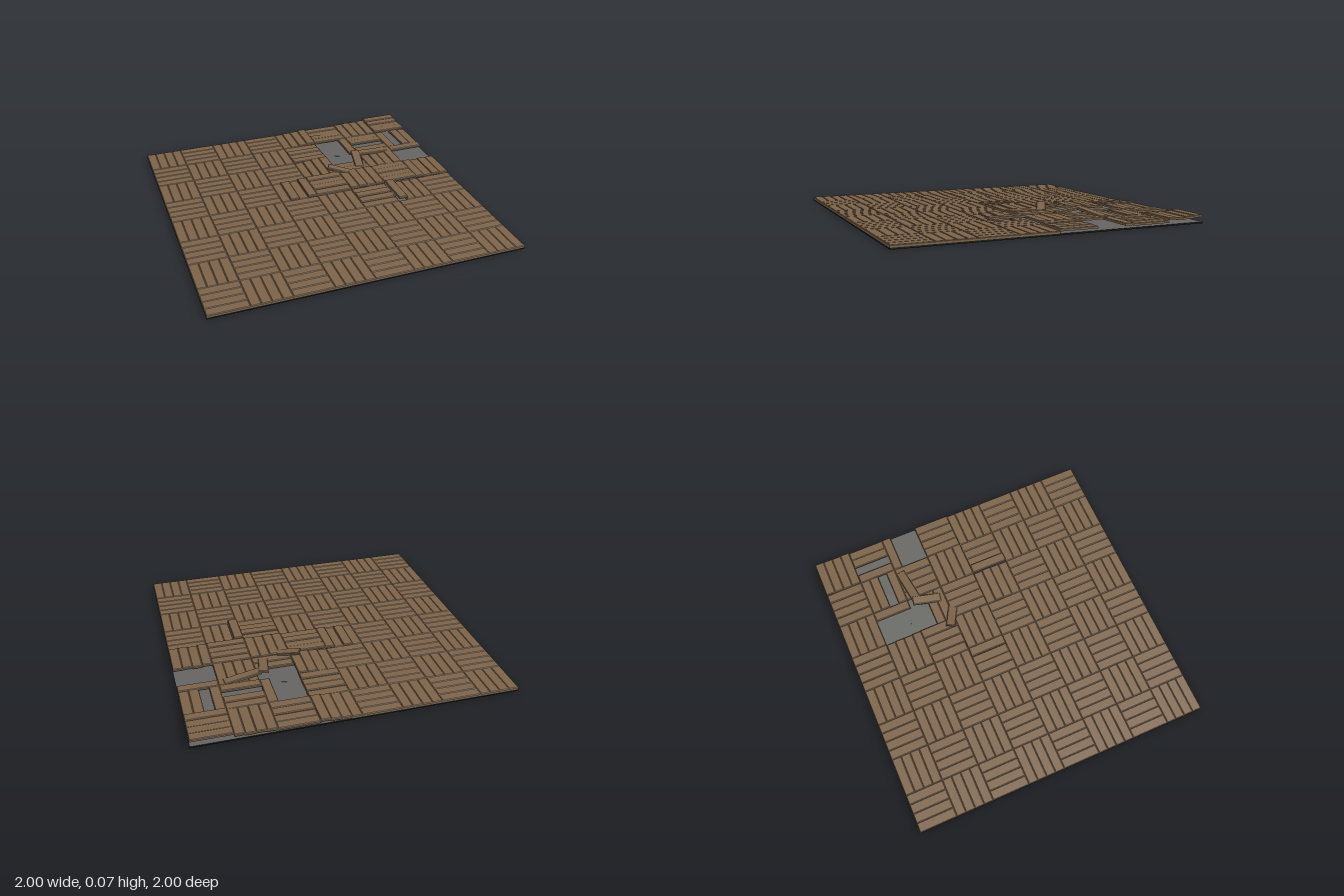
import * as THREE from 'three';

const mat = (name, color) => Object.assign(new THREE.MeshStandardMaterial({ color }), { name });

const CELL = 0.25, W = CELL / 4, BASE = 0.01, THICK = 0.015;

// Lift of each of the four planks in a disturbed tile, keyed "column,row"; null is a missing plank.
const DISTURBED = {
  '4,0': [0, 0.004, 0.008, 0.014], '5,0': [0.006, 0.004, 0.01, 0.012],
  '6,0': [0.01, 0.014, 0.012, 0.016], '7,0': [0.03, 0.026, 0.022, 0.026],
  '4,1': [0, 0.006, 0.004, 0.01], '5,1': [null, null, null, 0.01],
  '6,1': [0.012, 0.016, null, 0.014], '7,1': [0.012, null, 0.014, 0.01],
  '4,2': [0, 0.006, 0.012, 0.016], '5,2': [null, null, 0.006, 0.01],
  '6,2': [0.008, 0.012, 0.01, 0.014], '7,2': [0.014, null, null, null],
  '3,3': [0, 0.01, 0, 0.014], '4,3': [0.018, 0.014, 0.018, 0.012],
  '5,3': [0.018, 0.02, 0.016, 0.018], '6,3': [0.014, 0.018, 0.016, 0.02],
  '7,3': [0.016, 0.01, 0.014, 0.012],
  '5,4': [0.004, 0.012, 0.006, 0], '6,4': [0.028, 0, 0, 0],
};

// Plank lying along x: a box whose top edge is chamfered.
function plankGeometry(length, width) {
  const rings = [[-THICK / 2, 0], [THICK / 2 - 0.003, 0], [THICK / 2, 0.004]].map(([y, inset]) => {
    const a = length / 2 - inset, b = width / 2 - inset;
    return [[-a, y, b], [a, y, b], [a, y, -b], [-a, y, -b]];
  });
  const pos = [];
  const quad = (a, b, c, d) => pos.push(...a, ...b, ...c, ...a, ...c, ...d);
  const band = (lo, hi) => {
    for (let i = 0; i < 4; i++) {
      const j = (i + 1) % 4;
      quad(lo[i], lo[j], hi[j], hi[i]);
    }
  };
  quad(...rings[2]);
  quad(...[...rings[0]].reverse());
  band(rings[0], rings[1]);
  band(rings[1], rings[2]);
  const g = new THREE.BufferGeometry();
  g.setAttribute('position', new THREE.Float32BufferAttribute(pos, 3));
  g.computeVertexNormals();
  return g;
}

export function createModel() {
  const wood = mat('wood', 0x7c6349);
  const concrete = mat('concrete', 0x656461);
  const underside = mat('dark underside', 0x161616);
  const model = new THREE.Group();
  model.name = 'parquetFloor';

  // Subfloor: dark slab with a concrete top face
  const slab = new THREE.Mesh(new THREE.BoxGeometry(2, BASE, 2),
    [underside, underside, concrete, underside, underside, underside]);
  slab.name = 'subfloor';
  slab.position.y = BASE / 2;
  model.add(slab);

  // Basket-weave tiles of four planks, turned a quarter in alternate cells
  const plank = plankGeometry(CELL, W);
  for (let col = 0; col < 8; col++) {
    for (let row = 0; row < 8; row++) {
      const tile = new THREE.Group();
      tile.name = `tile${col}_${row}`;
      tile.position.set(-1 + (col + 0.5) * CELL, BASE + THICK / 2, -1 + (row + 0.5) * CELL);
      const lifts = DISTURBED[`${col},${row}`] ?? [0, 0, 0, 0];
      const alongZ = (col + row) % 2 === 0;
      lifts.forEach((lift, i) => {
        if (lift === null) return;
        const m = new THREE.Mesh(plank, wood);
        m.name = 'plank';
        const offset = (i - 1.5) * W;
        m.position.set(alongZ ? offset : 0, lift, alongZ ? 0 : offset);
        if (alongZ) m.rotation.y = Math.PI / 2;
        tile.add(m);
      });
      model.add(tile);
    }
  }

  // Loose planks stretched between two end points
  const loose = (name, from, to, width) => {
    const a = new THREE.Vector3(...from), b = new THREE.Vector3(...to);
    const d = b.clone().sub(a);
    const m = new THREE.Mesh(plankGeometry(d.length(), width), wood);
    m.name = name;
    m.position.copy(a).add(b).multiplyScalar(0.5);
    m.rotation.set(0, Math.atan2(-d.z, d.x), Math.atan2(d.y, Math.hypot(d.x, d.z)), 'YZX');
    model.add(m);
  };
  loose('loosePlankLeft', [0.19, 0.066, -0.30], [0.40, 0.019, -0.19], W);
  loose('loosePlankMiddle', [0.465, 0.064, -0.47], [0.43, 0.03, -0.28], W);
  loose('loosePlankRight', [0.48, 0.058, -0.44], [0.715, 0.034, -0.47], W);

  // Small raised crumb on the bare concrete
  const crumb = new THREE.Mesh(new THREE.BoxGeometry(0.035, 0.004, 0.012), concrete);
  crumb.name = 'concreteCrumb';
  crumb.position.set(0.35, BASE + 0.002, -0.53);
  crumb.rotation.y = -0.25;
  model.add(crumb);

  return model;
}
